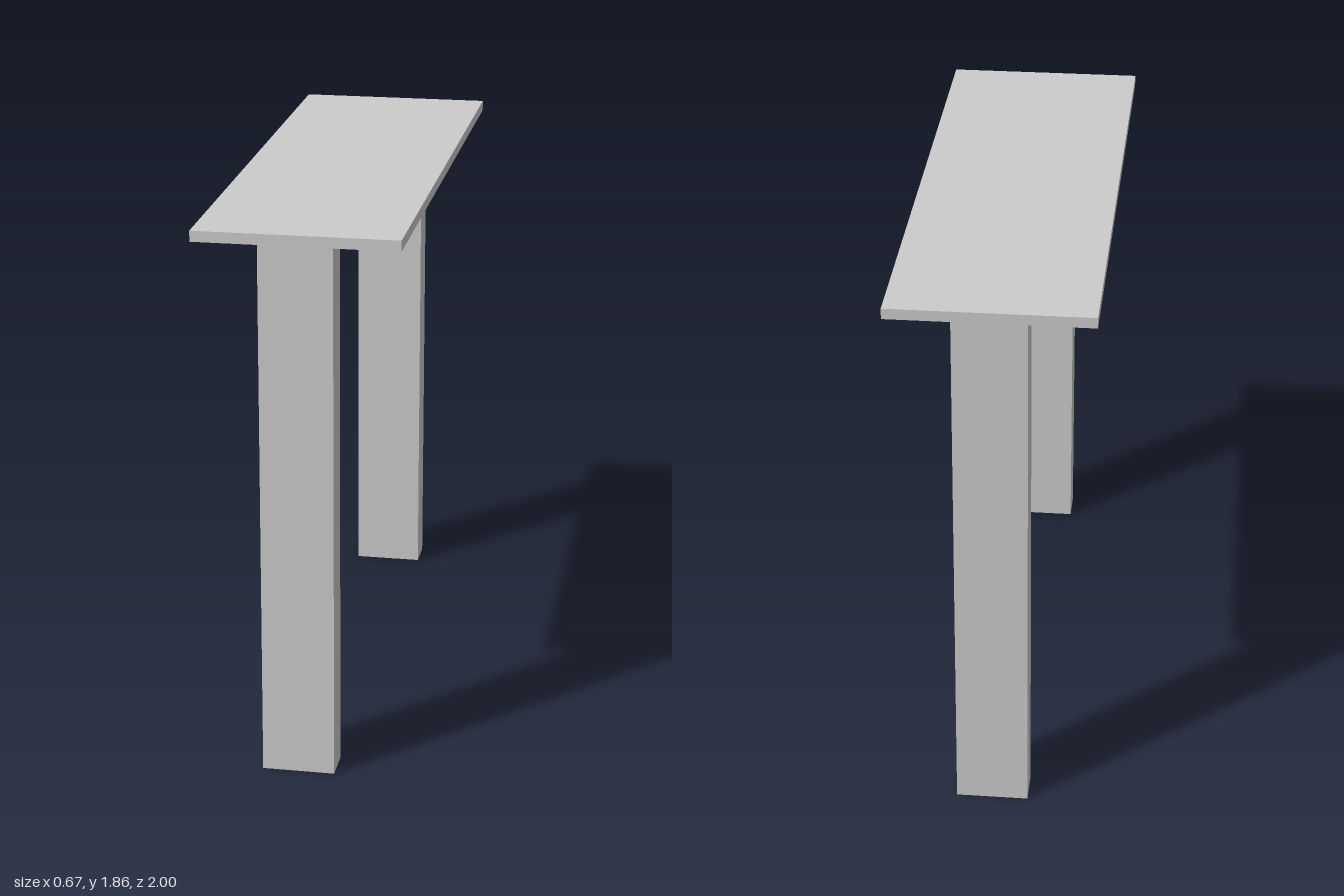
import * as THREE from 'three';

const LENGTH = 2, TOP_WIDTH = 0.674, TOP_THICKNESS = 0.036;
const LEG_WIDTH = 0.242, LEG_DEPTH = 0.12, LEG_HEIGHT = 1.82;

export function createModel() {
  const group = new THREE.Group();
  group.name = 'table';
  const material = new THREE.MeshStandardMaterial({ color: 0xcccccc, flatShading: true });

  const addBox = (name, size, position) => {
    const mesh = new THREE.Mesh(new THREE.BoxGeometry(...size), material);
    mesh.name = name;
    mesh.position.set(...position);
    group.add(mesh);
  };

  // Thin slab resting on the legs
  addBox('tableTop', [TOP_WIDTH, TOP_THICKNESS, LENGTH], [0, LEG_HEIGHT + TOP_THICKNESS / 2, 0]);

  // One broad leg flush with each end
  for (const [name, side] of [['frontLeg', 1], ['backLeg', -1]]) {
    addBox(name, [LEG_WIDTH, LEG_HEIGHT, LEG_DEPTH], [0, LEG_HEIGHT / 2, side * (LENGTH - LEG_DEPTH) / 2]);
  }

  return group;
}
